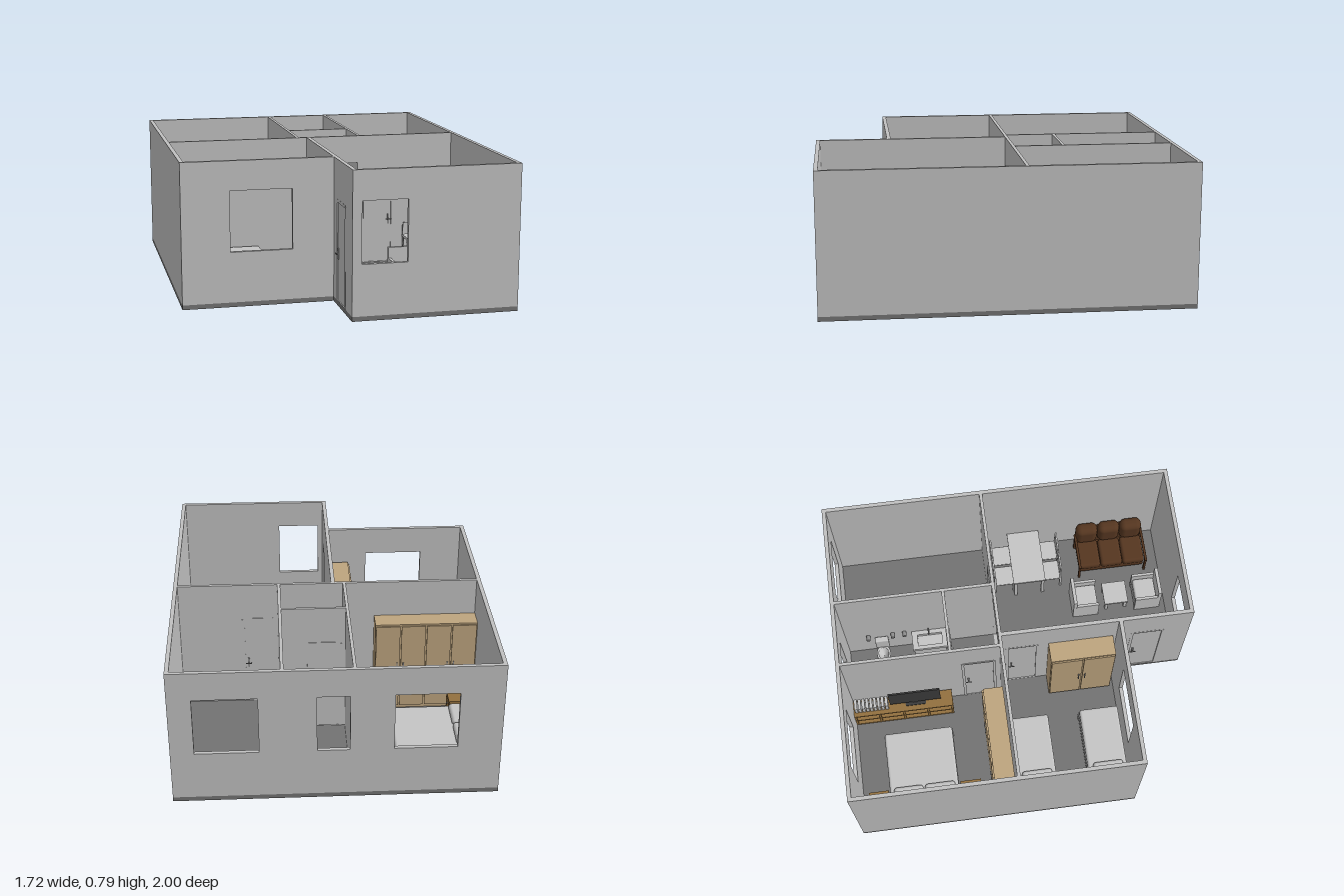
import * as THREE from 'three';
import { RoundedBoxGeometry } from 'three/addons/geometries/RoundedBoxGeometry.js';

const mat = (name, color) => Object.assign(new THREE.MeshStandardMaterial({ color }), { name });
const PLASTER = mat('plaster grey', 0xc0c0c0);
const FLOOR = mat('floor grey', 0x727272);
const LINEN = mat('linen grey', 0xc4c4c4);
const WALNUT = mat('walnut', 0x92703f);
const OAK = mat('pale oak', 0xbda47e);
const LEATHER = mat('brown leather', 0x553620);
const METAL = mat('metal', 0x8c8c8c);
const SCREEN = mat('dark screen', 0x3c3c3c);

const BASE = 0.025, TOP = 0.79, SILL = 0.3, HEAD = 0.63, DOOR = 0.57;

function add(parent, name, geo, material, x = 0, y = 0, z = 0) {
  const m = new THREE.Mesh(geo, material);
  m.name = name;
  m.position.set(x, y, z);
  parent.add(m);
  return m;
}
// Box given by its min and max corners; r rounds the edges
function box(parent, name, material, [x0, x1], [y0, y1], [z0, z1], r = 0) {
  const s = [x1 - x0, y1 - y0, z1 - z0];
  const geo = r ? new RoundedBoxGeometry(...s, 3, r) : new THREE.BoxGeometry(...s);
  return add(parent, name, geo, material, (x0 + x1) / 2, (y0 + y1) / 2, (z0 + z1) / 2);
}
function group(parent, name, x = 0, y = 0, z = 0, turn = 0) {
  const g = new THREE.Group();
  g.name = name;
  g.position.set(x, y, z);
  g.rotation.y = turn;
  parent.add(g);
  return g;
}
const rect = (C, a, b, c, d) => {
  const s = new C();
  s.moveTo(a, c); s.lineTo(b, c); s.lineTo(b, d); s.lineTo(a, d); s.closePath();
  return s;
};

// Wall along x or z, with openings [from, to, bottom, top]
function wall(parent, name, axis, from, to, min, max, openings = []) {
  const shape = rect(THREE.Shape, from, to, BASE, TOP);
  openings.forEach(o => shape.holes.push(rect(THREE.Path, ...o)));
  const geo = new THREE.ExtrudeGeometry(shape, { depth: max - min, bevelEnabled: false });
  if (axis === 'z') geo.rotateY(-Math.PI / 2);
  add(parent, name, geo, PLASTER, axis === 'z' ? max : 0, 0, axis === 'z' ? 0 : min);
}

// Door leaf with handles on both sides, along local x
function door(parent, name, x, z, width, turn, handleSide) {
  const g = group(parent, name, x, BASE, z, turn);
  const h = DOOR - BASE, w = width / 2;
  box(g, 'doorLeaf', PLASTER, [-w + 0.006, w - 0.006], [0.003, h - 0.006], [-0.006, 0.006]);
  for (const s of [-1, 1]) {
    box(g, 'doorJamb', PLASTER, [s * w - 0.008, s * w + 0.008], [0, h], [-0.012, 0.012]);
    const hx = handleSide * (w - 0.025);
    box(g, 'handlePlate', METAL, [hx - 0.005, hx + 0.005], [0.23, 0.29], [s * 0.009 - 0.003, s * 0.009 + 0.003]);
    box(g, 'handleStem', METAL, [hx - 0.003, hx + 0.003], [0.257, 0.263], [s * 0.014 - 0.007, s * 0.014 + 0.007]);
    box(g, 'handleLever', METAL, [hx - 0.018, hx + 0.018], [0.257, 0.263], [s * 0.021 - 0.002, s * 0.021 + 0.002]);
  }
  box(g, 'doorHeader', PLASTER, [-w, w], [h - 0.008, h + 0.008], [-0.012, 0.012]);
}

// Bed with its headboard at low x
function bed(parent, name, z0, z1, pillows) {
  const g = group(parent, name);
  const x0 = -0.835, x1 = -0.33;
  box(g, 'headboard', LINEN, [x0, x0 + 0.02], [BASE, 0.27], [z0, z1]);
  box(g, 'bedFrame', LINEN, [x0 + 0.02, x1], [0.05, 0.1], [z0 + 0.004, z1 - 0.004]);
  box(g, 'mattress', LINEN, [x0 + 0.022, x1 + 0.003], [0.095, 0.165], [z0 + 0.006, z1 - 0.006], 0.015);
  for (const z of [z0 + 0.012, z1 - 0.012])
    box(g, 'bedLeg', LINEN, [x1 - 0.018, x1 + 0.004], [BASE, 0.11], [z - 0.01, z + 0.01]);
  pillows.forEach(([a, b]) => box(g, 'pillow', LINEN, [-0.77, -0.66], [0.155, 0.195], [a, b], 0.018));
}

// Drawer cabinet whose front faces +x
function nightstand(parent, x1, z0, z1) {
  const g = group(parent, 'nightstand');
  box(g, 'nightstandBody', WALNUT, [-0.837, x1 - 0.006], [BASE, 0.17], [z0 + 0.004, z1 - 0.004]);
  box(g, 'nightstandTop', WALNUT, [-0.837, x1], [0.17, 0.18], [z0, z1]);
  for (const y of [0.035, 0.104]) {
    box(g, 'drawerFront', WALNUT, [x1 - 0.006, x1], [y, y + 0.06], [z0 + 0.01, z1 - 0.01]);
    add(g, 'drawerKnob', new THREE.SphereGeometry(0.005, 10, 8), METAL, x1 + 0.003, y + 0.03, (z0 + z1) / 2);
  }
}

// Open shelf unit with a television, front towards local +z
function mediaUnit(parent, name, x, z, length, depth, tvShift, tvLength, turn) {
  const g = group(parent, name, x, BASE, z, turn);
  const w = length / 2, d = depth / 2, h = 0.15;
  for (const y of [0, 0.068, h - 0.012]) box(g, 'shelfBoard', WALNUT, [-w, w], [y, y + 0.012], [-d, d]);
  box(g, 'shelfBack', WALNUT, [-w, w], [0, h], [-d, -d + 0.008]);
  for (let i = 0; i < 5; i++) {
    const p = -w + 0.006 + i * (length - 0.012) / 4;
    box(g, 'shelfDivider', WALNUT, [p - 0.006, p + 0.006], [0, h], [-d, d - 0.001]);
  }
  const t = tvLength / 2;
  box(g, 'televisionFoot', SCREEN, [tvShift - 0.06, tvShift + 0.06], [h, h + 0.006], [-0.02, 0.02]);
  box(g, 'televisionStem', SCREEN, [tvShift - 0.015, tvShift + 0.015], [h, h + 0.03], [-0.004, 0.004]);
  box(g, 'television', SCREEN, [tvShift - t, tvShift + t], [h + 0.02, 0.335], [-0.005, 0.005]);
}

// Wardrobe with doors and knobs, front towards local +z
function wardrobe(parent, x, z, length, depth, doors, turn) {
  const g = group(parent, 'wardrobe', x, BASE, z, turn);
  const w = length / 2, d = depth / 2, step = length / doors;
  box(g, 'wardrobeBody', OAK, [-w, w], [0, 0.555], [-d, d - 0.008]);
  for (let i = 0; i < doors; i++) {
    const a = -w + i * step;
    box(g, 'wardrobeDoor', OAK, [a + 0.004, a + step - 0.004], [0.02, 0.545], [d - 0.008, d]);
    const k = i % 2 ? a + 0.018 : a + step - 0.018;
    box(g, 'wardrobeHandle', METAL, [k - 0.003, k + 0.003], [0.24, 0.31], [d, d + 0.006]);
  }
}

// Table with four legs
function table(parent, name, xs, zs, h) {
  const g = group(parent, name);
  box(g, 'tableTop', LINEN, xs, [h - 0.014, h], zs);
  for (const x of [xs[0] + 0.015, xs[1] - 0.015]) for (const z of [zs[0] + 0.015, zs[1] - 0.015])
    box(g, 'tableLeg', LINEN, [x - 0.009, x + 0.009], [BASE, h - 0.014], [z - 0.009, z + 0.009]);
}

// Dining chair with its back at local -z
function chair(parent, x, z, turn) {
  const g = group(parent, 'diningChair', x, BASE, z, turn);
  box(g, 'chairSeat', LINEN, [-0.06, 0.06], [0.1, 0.12], [-0.045, 0.075], 0.006);
  box(g, 'chairBack', LINEN, [-0.055, 0.055], [0.14, 0.24], [-0.053, -0.043]);
  for (const s of [-0.052, 0.052]) for (const b of [-0.048, 0.065])
    box(g, 'chairLeg', LINEN, [s - 0.006, s + 0.006], [0, b < 0 ? 0.22 : 0.1], [b - 0.006, b + 0.006]);
}

// Armchair with its back at local -z
function armchair(parent, x, z, turn) {
  const g = group(parent, 'armchair', x, BASE, z, turn);
  box(g, 'armchairBase', LINEN, [-0.075, 0.075], [0.02, 0.08], [-0.07, 0.076]);
  box(g, 'armchairCushion', LINEN, [-0.068, 0.068], [0.075, 0.115], [-0.055, 0.074], 0.012);
  box(g, 'armchairBack', LINEN, [-0.085, 0.085], [0, 0.21], [-0.078, -0.058]);
  for (const s of [-1, 1])
    box(g, 'armchairArm', LINEN, [s * 0.078 - 0.008, s * 0.078 + 0.008], [0, 0.15], [-0.06, 0.078]);
}

export function createModel() {
  const house = new THREE.Group();
  house.name = 'house';

  // L-shaped slab
  const plan = new THREE.Shape([[-0.86, 1], [0.86, 1], [0.86, -1], [-0.04, -1], [-0.04, -0.6], [-0.86, -0.6]]
    .map(p => new THREE.Vector2(...p)));
  const slab = new THREE.ExtrudeGeometry(plan, { depth: BASE, bevelEnabled: false }).rotateX(-Math.PI / 2);
  add(house, 'floorSlab', slab, FLOOR);

  // Outer and inner walls
  const win = (a, b) => [a, b, SILL, HEAD], way = (a, b, top = DOOR) => [a, b, BASE + 0.002, top];
  const walls = group(house, 'walls');
  wall(walls, 'backWall', 'x', -0.86, 0.86, -1, -0.978, [win(-0.63, -0.3), win(-0.07, 0.1), win(0.4, 0.735)]);
  wall(walls, 'leftWall', 'z', -0.978, 1, 0.838, 0.86);
  wall(walls, 'rightWall', 'z', -0.978, 0.6, -0.86, -0.838);
  wall(walls, 'bedroomFrontWall', 'x', -0.838, -0.04, 0.578, 0.6, [win(-0.6, -0.265)]);
  wall(walls, 'livingFrontWall', 'x', -0.04, 0.838, 0.978, 1, [win(0.01, 0.255)]);
  wall(walls, 'entryWall', 'z', -0.078, 0.978, -0.04, -0.018, [way(-0.05, 0.126), way(0.67, 0.85)]);
  wall(walls, 'middleWall', 'x', -0.838, 0.838, -0.096, -0.078, [way(0, 0.265, HEAD), way(0.31, 0.48)]);
  wall(walls, 'mainBedroomWall', 'z', -0.978, -0.096, -0.1, -0.083, [way(-0.31, -0.13)]);
  wall(walls, 'bathroomSideWall', 'z', -0.978, -0.096, 0.266, 0.283);
  wall(walls, 'bathroomFrontWall', 'x', -0.083, 0.266, -0.378, -0.362, [way(-0.055, 0.12)]);

  // Doors
  const Q = Math.PI / 2;
  door(house, 'smallBedroomDoor', -0.029, 0.038, 0.176, Q, 1);
  door(house, 'entryDoor', -0.029, 0.76, 0.18, Q, 1);
  door(house, 'leftRoomDoor', 0.395, -0.087, 0.17, 0, 1);
  door(house, 'mainBedroomDoor', -0.0915, -0.22, 0.18, Q, 1);
  door(house, 'bathroomDoor', 0.0325, -0.37, 0.175, 0, 1);

  // Bedrooms
  bed(house, 'doubleBed', -0.82, -0.41, [[-0.79, -0.62], [-0.61, -0.435]]);
  bed(house, 'singleBed', -0.075, 0.16, [[-0.045, 0.13]]);
  bed(house, 'singleBed', 0.335, 0.575, [[0.37, 0.545]]);
  nightstand(house, -0.67, -0.935, -0.82);
  nightstand(house, -0.67, -0.405, -0.285);
  nightstand(house, -0.7, 0.165, 0.33);
  wardrobe(house, -0.55, -0.162, 0.575, 0.12, 4, Math.PI);
  wardrobe(house, -0.102, 0.373, 0.37, 0.122, 2, -Q);
  mediaUnit(house, 'bedroomMediaUnit', -0.155, -0.685, 0.585, 0.1, 0.075, 0.3, -Q);
  for (let i = 0; i < 9; i++)
    box(house, 'book', LINEN, [-0.18, -0.118], [0.175, 0.24], [-0.968 + i * 0.0225, -0.951 + i * 0.0225]);

  // Living room
  mediaUnit(house, 'livingMediaUnit', 0.038, 0.403, 0.475, 0.105, 0, 0.34, Q);
  table(house, 'diningTable', [0.5, 0.835], [0.06, 0.255], 0.22);
  for (const x of [0.595, 0.73]) {
    chair(house, x, 0, 0);
    chair(house, x, 0.308, Math.PI);
  }
  armchair(house, 0.4, 0.482, 0);
  armchair(house, 0.4, 0.863, Math.PI);
  table(house, 'coffeeTable', [0.335, 0.475], [0.6, 0.745], 0.12);
  const sofa = group(house, 'sofa');
  box(sofa, 'sofaBase', LEATHER, [0.6, 0.81], [0.045, 0.09], [0.485, 0.885], 0.01);
  box(sofa, 'sofaBack', LEATHER, [0.785, 0.825], [0.045, 0.24], [0.485, 0.885], 0.015);
  for (let i = 0; i < 3; i++) {
    const z = 0.483 + i * 0.136;
    box(sofa, 'seatCushion', LEATHER, [0.595, 0.77], [0.08, 0.135], [z, z + 0.133], 0.018);
    box(sofa, 'backCushion', LEATHER, [0.752, 0.832], [0.12, 0.275], [z, z + 0.133], 0.035);
  }
  for (const z of [0.481, 0.889]) {
    box(sofa, 'sofaArm', LEATHER, [0.565, 0.8], [0.165, 0.183], [z - 0.008, z + 0.008], 0.007);
    for (const x of [0.58, 0.78]) box(sofa, 'sofaLeg', LEATHER, [x - 0.008, x + 0.008], [BASE, 0.17], [z - 0.006, z + 0.006]);
  }

  // Bathroom
  const toilet = group(house, 'toilet', 0.19, BASE, -0.77);
  const v = (x, y) => new THREE.Vector2(x, y);
  const bowl = new THREE.LatheGeometry([v(0, 0), v(0.028, 0), v(0.024, 0.04), v(0.042, 0.1), v(0.032, 0.1), v(0.015, 0.06), v(0, 0.055)], 24);
  add(toilet, 'toiletBowl', bowl, LINEN).scale.x = 1.25;
  const seat = add(toilet, 'toiletSeat', new THREE.TorusGeometry(0.036, 0.007, 8, 28).rotateX(Q), LINEN, 0, 0.102, 0);
  seat.scale.set(1.25, 0.7, 1);
  box(toilet, 'toiletTank', LINEN, [0.04, 0.073], [0.09, 0.2], [-0.04, 0.04], 0.008);
  const vanity = group(house, 'vanity');
  box(vanity, 'vanityCabinet', LINEN, [0.155, 0.265], [BASE, 0.21], [-0.58, -0.39]);
  const counter = rect(THREE.Shape, 0.148, 0.265, 0.383, 0.588);
  counter.holes.push(rect(THREE.Path, 0.17, 0.24, 0.41, 0.555));
  add(vanity, 'washBasin', new THREE.ExtrudeGeometry(counter, { depth: 0.025, bevelEnabled: false }).rotateX(-Q), LINEN, 0, 0.21, 0);
  const spout = new THREE.CatmullRomCurve3([[0.254, 0.23, -0.485], [0.254, 0.28, -0.485], [0.235, 0.29, -0.485], [0.22, 0.275, -0.485]]
    .map(p => new THREE.Vector3(...p)));
  add(vanity, 'faucet', new THREE.TubeGeometry(spout, 16, 0.004, 8), METAL);
  for (const z of [-0.845, -0.7, -0.63])
    add(house, 'wallFixture', new THREE.CylinderGeometry(0.012, 0.012, 0.03, 16).rotateZ(Q), METAL, 0.25, 0.25, z);

  return house;
}
